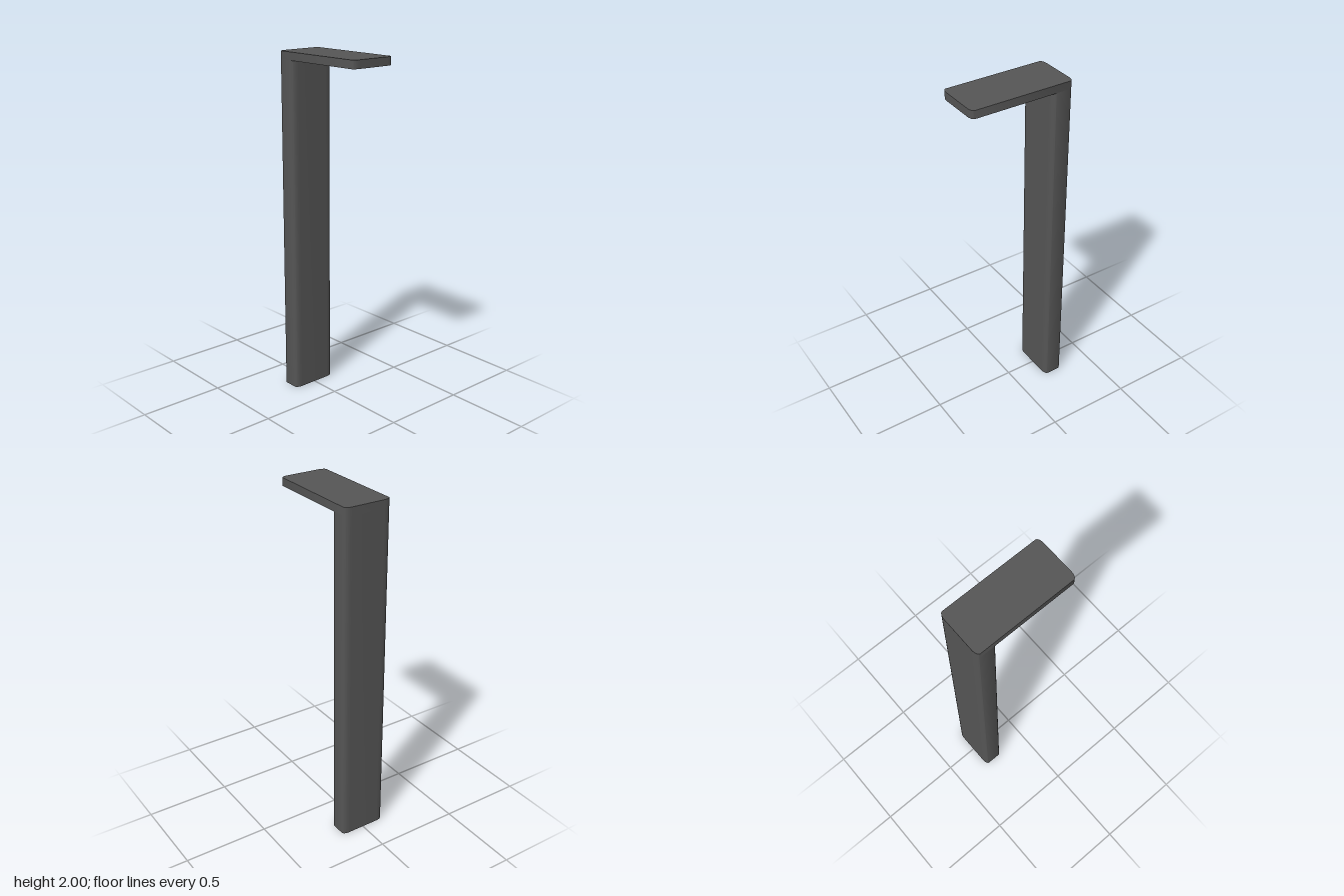
import * as THREE from 'three';
import { toCreasedNormals } from 'three/addons/utils/BufferGeometryUtils.js';

const HALF_Z = 0.138;

// Upright slab whose plan has elliptical corners (rx along x, rz along z)
function slab(name, x0, x1, y0, y1, material, rx = 0.02, rz = 0.04) {
  const cx = (x0 + x1) / 2;
  const hx = (x1 - x0) / 2 - rx;
  const hz = HALF_Z - rz;
  const plan = new THREE.Shape();
  plan.moveTo(hx + rx, -hz);
  [[1, 1], [-1, 1], [-1, -1], [1, -1]].forEach(([sx, sz], i) => {
    plan.absellipse(sx * hx, sz * hz, rx, rz, i * Math.PI / 2, (i + 1) * Math.PI / 2, false, 0);
  });
  const geometry = new THREE.ExtrudeGeometry(plan, { depth: y1 - y0, bevelEnabled: false, curveSegments: 8 });
  geometry.rotateX(-Math.PI / 2);
  geometry.translate(cx, y0, 0);
  const mesh = new THREE.Mesh(toCreasedNormals(geometry, 0.7), material);
  mesh.name = name;
  return mesh;
}

export function createModel() {
  const group = new THREE.Group();
  group.name = 'bollardLight';
  const metal = new THREE.MeshStandardMaterial({ color: 0x555555 });
  const glass = new THREE.MeshStandardMaterial({ color: 0xb4dcea });

  // Post and cantilevered head
  group.add(slab('post', -0.304, -0.185, 0, 1.955, metal));
  group.add(slab('head', -0.304, 0.304, 1.954, 2, metal));

  // Shallow curved lens under the head, running along x
  const section = new THREE.Shape();
  section.absellipse(0, 0, 0.04, 0.011, Math.PI, Math.PI * 2, false, 0);
  section.closePath();
  const lensGeometry = new THREE.ExtrudeGeometry(section, { depth: 0.325, bevelEnabled: false, curveSegments: 16 });
  lensGeometry.rotateY(Math.PI / 2);
  lensGeometry.translate(-0.115, 1.955, 0);
  const lens = new THREE.Mesh(toCreasedNormals(lensGeometry, 0.7), glass);
  lens.name = 'lens';
  group.add(lens);

  return group;
}
